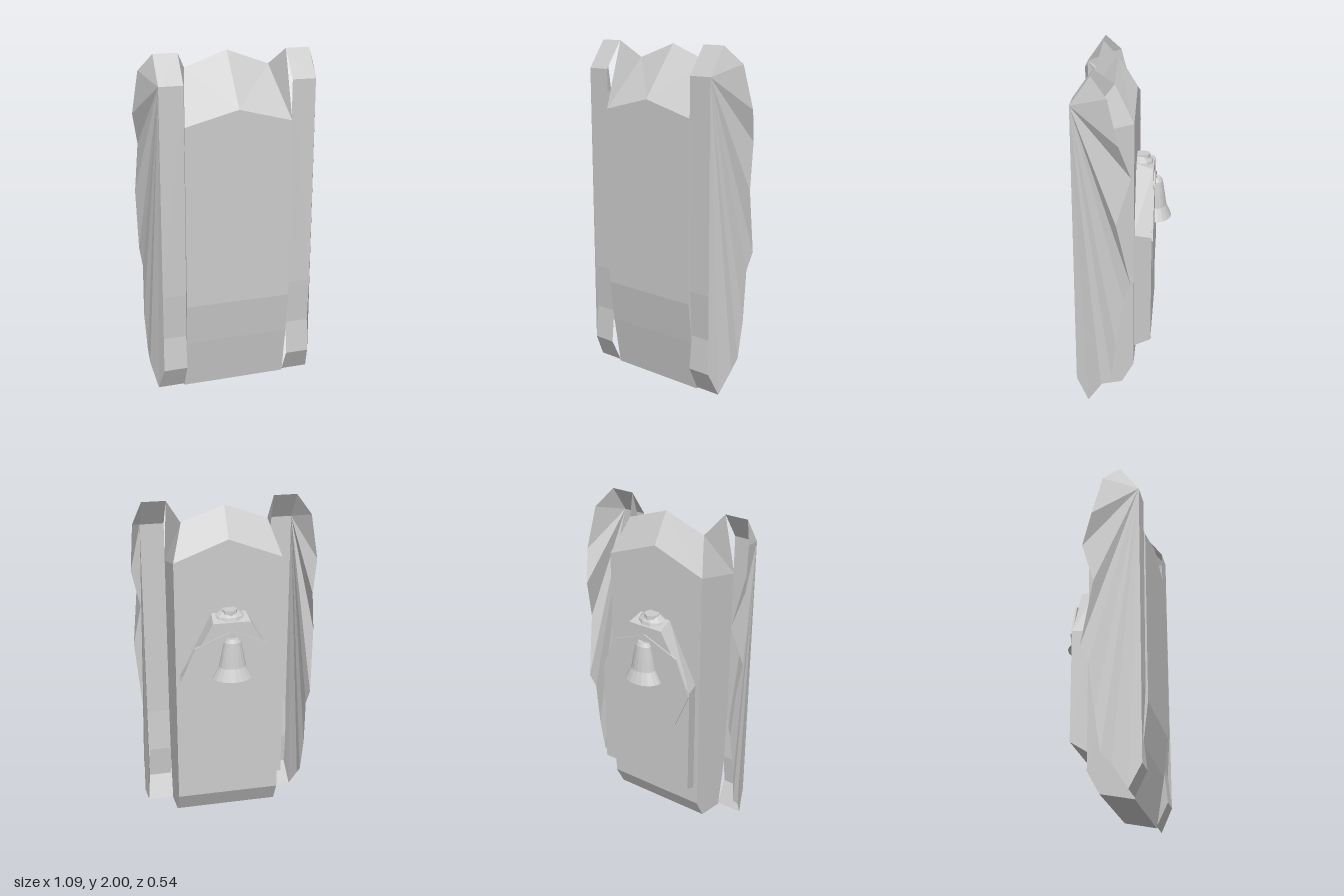
import * as THREE from 'three';

const material = new THREE.MeshStandardMaterial({ color: 0xcccccc, flatShading: true, side: THREE.DoubleSide });

// Turns triangles (three [x, y, z] corners each) into a faceted mesh
function facets(name, tris) {
  const g = new THREE.BufferGeometry();
  g.setAttribute('position', new THREE.Float32BufferAttribute(tris.flat(2), 3));
  g.computeVertexNormals();
  return named(name, g);
}

function named(name, geometry) {
  const mesh = new THREE.Mesh(geometry, material);
  mesh.name = name;
  return mesh;
}

const fan = (apex, pts) => pts.slice(1).map((p, i) => [apex, pts[i], p]);
const quad = (a, b, c, d) => [[a, b, c], [a, c, d]];
// Mirrors triangles across x = 0 and keeps them facing outward
const mirror = tris => tris.map(([a, b, c]) => [a, c, b].map(([x, y, z]) => [-x, y, z]));

// Hull outline: half width, y at the edge, y on the centre line, z
const HULL = [
  [0.315, 1.61, 1.69, 0.27], [0.25, 1.9, 1.99, 0.04], [0.315, 1.7, 1.82, -0.07],
  [0.315, 0.17, 0.17, -0.07], [0.315, 0.04, 0.04, 0], [0.315, 0, 0, 0.19],
  [0.315, 0.3, 0.3, 0.24], [0.315, 0.545, 0.545, 0.27],
];

function hull() {
  const edge = HULL.map(([w, y, , z]) => [w, y, z]);
  const mid = HULL.map(([, , y, z]) => [0, y, z]);
  const half = [];
  edge.forEach((e, i) => {
    const j = (i + 1) % edge.length;
    half.push(...quad(mid[i], e, edge[j], mid[j]));
  });
  // flat side, nose bevel and gusset up to the fender tip
  half.push(...fan(edge[0], edge.slice(2).reverse()));
  half.push([edge[0], edge[2], edge[1]]);
  half.push([edge[0], edge[1], [0.315, 2, 0.15]]);
  return facets('hull', [...half, ...mirror(half)]);
}

// Fender strip: outer x, y, z from top to bottom
const STRIP = [
  [0.455, 2, 0.15], [0.455, 1.84, 0.263], [0.455, 0.62, 0.257],
  [0.455, 0.35, 0.24], [0.455, 0.15, 0.26], [0.475, 0.01, 0.19],
];
// Jagged free edge of the flared side skirt
const SKIRT = [
  [0.455, 2, 0.15], [0.52, 1.9, 0.06], [0.545, 1.65, 0], [0.505, 1.46, -0.065],
  [0.545, 1.2, 0.015], [0.515, 0.82, -0.065], [0.505, 0.72, -0.02], [0.515, 0.42, 0.02],
  [0.505, 0.2, 0.05], [0.505, 0.14, 0.11], [0.475, 0.01, 0.19], [0.455, 0.15, 0.26],
];

function sidePanels(side, flip) {
  const strip = [];
  STRIP.slice(1).forEach((b, i) => {
    const a = STRIP[i];
    strip.push(...quad([0.315, a[1], a[2]], [0.315, b[1], b[2]], b, a));
  });
  const skirt = fan(STRIP[1], [...SKIRT].reverse());
  const group = new THREE.Group();
  group.name = side + 'SidePanels';
  group.add(
    facets(side + 'Fender', flip ? mirror(strip) : strip),
    facets(side + 'Skirt', flip ? mirror(skirt) : skirt),
  );
  return group;
}

// Raised block on the back, flaring outward and narrowing toward the top
function superstructure() {
  const ring = (w, low, tip, top, z) => [
    [-w, low, z], [w, low, z], [w, 1.02, z], [tip, top, z], [-tip, top, z], [-w, 1.02, z],
  ];
  const base = ring(0.285, 0.28, 0.1, 1.39, -0.065);
  const roof = ring(0.31, 0.345, 0.11, 1.36, -0.17);
  const tris = fan(roof[0], roof.slice(1).reverse());
  base.forEach((p, i) => {
    const j = (i + 1) % base.length;
    tris.push(...quad(p, roof[i], roof[j], base[j]));
  });
  return facets('superstructure', tris);
}

export function createModel() {
  const model = new THREE.Group();
  model.name = 'model';
  model.add(hull(), sidePanels('left', false), sidePanels('right', true), superstructure());

  // Rounded mount at the head of the superstructure
  const mount = named('mount', new THREE.SphereGeometry(1, 10, 6));
  mount.scale.set(0.1, 0.075, 0.085);
  mount.position.set(0, 1.345, -0.085);
  model.add(mount);

  // Short stub in the mount
  const stub = named('stub', new THREE.CylinderGeometry(0.045, 0.05, 0.06, 8));
  stub.position.set(0, 1.388, -0.1);
  model.add(stub);

  // Thin octagonal plate
  const plate = named('octagonPlate', new THREE.CylinderGeometry(0.31, 0.31, 0.012, 8));
  plate.rotation.x = Math.PI / 2;
  plate.position.set(0, 1, -0.172);
  model.add(plate);

  // Hollow half bell lying on the plate, its mouth tilted
  const profile = [[0, 1.27], [0.035, 1.27], [0.05, 1.25], [0.065, 1.18], [0.08, 1.1], [0.12, 1.03], [0.105, 1.025], [0.07, 1.09]]
    .map(([r, y]) => new THREE.Vector2(r, y));
  const bellShape = new THREE.LatheGeometry(profile, 10, Math.PI / 2 - 0.2, Math.PI + 0.4);
  bellShape.scale(1, 1, 0.76);
  const bell = named('bell', bellShape);
  bell.position.z = -0.183;
  model.add(bell);

  return model;
}
